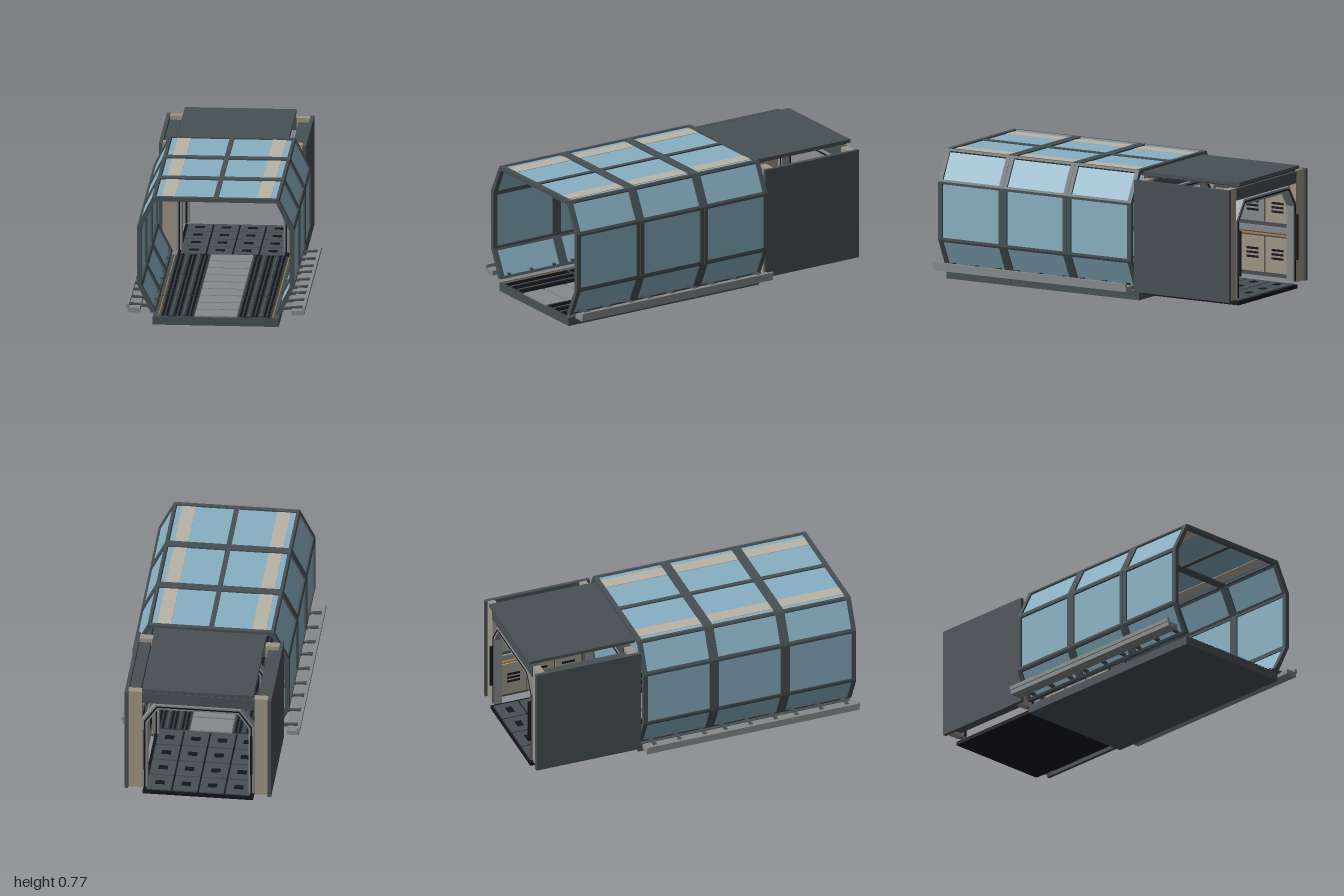
import * as THREE from 'three';

const material = (name, color, side = THREE.FrontSide) => {
  const m = new THREE.MeshStandardMaterial({ color, side });
  m.name = name;
  return m;
};

export function createModel() {
  const dark = material('dark steel', 0x475054);
  const glass = material('blue glass', 0x88b0c2, THREE.DoubleSide);
  const tan = material('tan panel', 0x9e9686);
  const pale = material('pale strip', 0xb8b4a7);
  const grey = material('grey metal', 0x868a8a);
  const black = material('black', 0x15141b);
  const slate = material('slate grating', 0x33393c);
  const orange = material('orange trim', 0xb07a38);

  const model = new THREE.Group();
  model.name = 'corridor';
  const group = (name) => {
    const g = new THREE.Group();
    g.name = name;
    model.add(g);
    return g;
  };
  // Box given by its extents
  const box = (parent, name, mat, x0, x1, y0, y1, z0, z1) => {
    const m = new THREE.Mesh(new THREE.BoxGeometry(Math.abs(x1 - x0), y1 - y0, z1 - z0), mat);
    m.position.set((x0 + x1) / 2, (y0 + y1) / 2, (z0 + z1) / 2);
    m.name = name;
    parent.add(m);
  };
  // Cross-section in x, y drawn out from z0 to z1
  const extrude = (parent, name, mat, pts, z0, z1) => {
    const shape = new THREE.Shape(pts.map(([x, y]) => new THREE.Vector2(x, y)));
    const m = new THREE.Mesh(new THREE.ExtrudeGeometry(shape, { depth: z1 - z0, bevelEnabled: false }), mat);
    m.position.z = z0;
    m.name = name;
    parent.add(m);
  };
  const flip = (pts, s) => pts.map(([x, y]) => [s * x, y]);
  // Closed band between an outer and inner half profile, mirrored across x
  const archBand = (outer, inner) => [
    ...outer, ...flip(outer, -1).reverse(), ...flip(inner, -1), ...[...inner].reverse(),
  ];
  const mix = (a, b, t) => [a[0] + (b[0] - a[0]) * t, a[1] + (b[1] - a[1]) * t];

  // Glazed tunnel: half profile from the foot to the roof corner
  const outer = [[0.38, 0.072], [0.462, 0.245], [0.462, 0.592], [0.37, 0.775]];
  const inner = [[0.35, 0.076], [0.434, 0.24], [0.434, 0.585], [0.355, 0.75]];
  const step = 4 / 9;
  const slide = (a, b, d) => mix(a, b, d / Math.hypot(b[0] - a[0], b[1] - a[1]));
  const roofO = [0, 0.775], roofI = [0, 0.75];
  const outs = [...outer, roofO], ins = [...inner, roofI];

  for (let s = 0; s < 3; s++) {
    const z0 = -1 / 3 + s * step, z1 = z0 + step;
    const g = group('tunnelSection' + (s + 1));
    // Ribs at both ends
    for (const z of [z0, z1 - 0.028]) extrude(g, 'rib', dark, archBand(outer, inner), z + 0.0005, z + 0.0275);
    // Roof centre rail
    box(g, 'roofRail', dark, -0.014, 0.014, 0.75, 0.774, z0 + 0.02, z1 - 0.02);

    for (const side of [1, -1]) {
      // Corner rails and panes
      for (let i = 0; i < 4; i++) {
        const w = 0.014;
        const a = i ? [slide(outs[i], outs[i - 1], w), outs[i]] : [outs[0]];
        const b = i ? [ins[i], slide(ins[i], ins[i - 1], w)] : [ins[0]];
        extrude(g, 'cornerRail', dark,
          flip([...a, slide(outs[i], outs[i + 1], w), slide(ins[i], ins[i + 1], w), ...b], side), z0 + 0.02, z1 - 0.02);
        extrude(g, 'pane', glass, flip([
          mix(outs[i], ins[i], 0.35), mix(outs[i + 1], ins[i + 1], 0.35),
          mix(outs[i + 1], ins[i + 1], 0.6), mix(outs[i], ins[i], 0.6),
        ], side), z0 + 0.02, z1 - 0.02);
      }
      // Pale strip on and under the roof glass
      box(g, 'roofStrip', pale, side * 0.24, side * 0.32, 0.757, 0.7685, z0 + 0.025, z1 - 0.025);

      // Outer rail with lip and brackets
      box(g, 'sideRail', grey, side * 0.445, side * 0.518, 0.072, 0.1, z0, z1);
      box(g, 'sideRailLip', grey, side * 0.508, side * 0.525, 0.098, 0.121, z0, z1);
      for (let k = 0; k < 3; k++) {
        const z = z0 + 0.065 + k * 0.157;
        extrude(g, 'bracket', dark, flip([[0.36, 0.082], [0.36, 0.098], [0.39, 0.102], [0.51, 0.115], [0.51, 0.1], [0.44, 0.093]], side), z - 0.009, z + 0.009);
      }

      // Slatted floor grating
      box(g, 'gratingBase', slate, side * 0.13, side * 0.325, 0.05, 0.054, z0 + 0.008, z1 - 0.008);
      for (let k = 0; k < 8; k++) {
        const x = side * (0.145 + k * 0.0235);
        box(g, 'gratingSlat', k % 3 === 2 ? dark : black, x - 0.006, x + 0.006, 0.054, 0.06, z0 + 0.012, z1 - 0.012);
      }
      box(g, 'floorTrim', orange, side * 0.333, side * 0.338, 0.05, 0.055, z0 + 0.02, z1 - 0.02);
    }

    // Floor slab and centre tiles
    box(g, 'floorSlab', dark, -0.37, 0.37, 0, 0.05, z0 + 0.001, z1 - 0.001);
    for (let k = 0; k < 3; k++) {
      const z = z0 + k * step / 3;
      box(g, 'floorTile', grey, -0.123, 0.123, 0.05, 0.058, z + 0.006, z + step / 3 - 0.006);
    }
  }

  // Rear module: floor and roof
  const rear = group('rearModule');
  box(rear, 'rearFloor', black, -0.325, 0.325, 0.028, 0.05, -0.99, -0.335);
  for (let i = 0; i < 4; i++) for (let j = 0; j < 4; j++) {
    const x = -0.31 + i * 0.155, z = -0.985 + j * 0.162;
    box(rear, 'rearFloorTile', dark, x + 0.005, x + 0.15, 0.05, 0.057, z + 0.005, z + 0.157);
    box(rear, 'floorSlot', black, x + 0.05, x + 0.105, 0.057, 0.0585, z + 0.06, z + 0.1);
  }
  box(rear, 'rearRoof', dark, -0.328, 0.328, 0.74, 0.76, -0.998, -0.335);
  for (let j = 0; j < 3; j++) {
    const z = -0.985 + j * 0.217;
    box(rear, 'ceilingPanel', slate, -0.31, 0.31, 0.73, 0.74, z, z + 0.2);
    for (const side of [1, -1]) {
      box(rear, 'ceilingVent', black, side * 0.05, side * 0.19, 0.727, 0.73, z + 0.04, z + 0.16);
      box(rear, 'ceilingTrim', orange, side * 0.22, side * 0.31, 0.728, 0.731, z + 0.08, z + 0.1);
    }
  }

  // Header beams and portal arches at both ends
  const portalOut = [[0.33, 0.07], [0.33, 0.53], [0.25, 0.645]];
  const portalIn = [[0.297, 0.07], [0.297, 0.52], [0.235, 0.613]];
  const grooveOut = portalOut.map((p, i) => mix(p, portalIn[i], 0.36));
  const grooveIn = portalOut.map((p, i) => mix(p, portalIn[i], 0.64));
  for (const [z0, z1] of [[-0.98, -0.93], [-0.41, -0.36]]) {
    box(rear, 'headerBeam', dark, -0.33, 0.33, 0.652, 0.722, z0, z1);
    extrude(rear, 'portalArch', grey, archBand(portalOut, portalIn), z0, z1);
    extrude(rear, 'portalGroove', black, archBand(grooveOut, grooveIn), z0 - 0.002, z1 + 0.002);
  }

  for (const side of [1, -1]) {
    // Outer wall, corner pillars and door handle
    box(rear, 'outerWall', dark, side * 0.411, side * 0.432, 0.06, 0.726, -0.992, -0.336);
    for (const [z0, z1] of [[-0.976, -0.932], [-0.405, -0.358]])
      box(rear, 'pillar', tan, side * 0.331, side * 0.411, 0.062, 0.725, z0, z1);
    box(rear, 'doorHandle', black, side * 0.308, side * 0.32, 0.2, 0.47, -1, -0.98);

    // Wall cabinets with doors, vents and shelf
    box(rear, 'cabinet', dark, side * 0.345, side * 0.411, 0.08, 0.7, -0.932, -0.405);
    box(rear, 'shelf', grey, side * 0.331, side * 0.345, 0.34, 0.375, -0.93, -0.41);
    box(rear, 'shelfTrim', orange, side * 0.33, side * 0.345, 0.322, 0.33, -0.93, -0.41);
    for (let k = 0; k < 3; k++) {
      const z = -0.925 + k * 0.173;
      box(rear, 'cabinetDoor', tan, side * 0.335, side * 0.345, 0.1, 0.31, z, z + 0.162);
      box(rear, 'upperDoor', k === 1 ? grey : tan, side * 0.335, side * 0.345, 0.4, 0.57, z, z + 0.162);
      for (let v = 0; v < 3; v++) {
        box(rear, 'doorVent', black, side * 0.332, side * 0.336, 0.18 + v * 0.025, 0.193 + v * 0.025, z + 0.04, z + 0.12);
        box(rear, 'upperVent', black, side * 0.332, side * 0.336, 0.46 + v * 0.025, 0.473 + v * 0.025, z + 0.04, z + 0.12);
      }
    }
  }
  return model;
}
